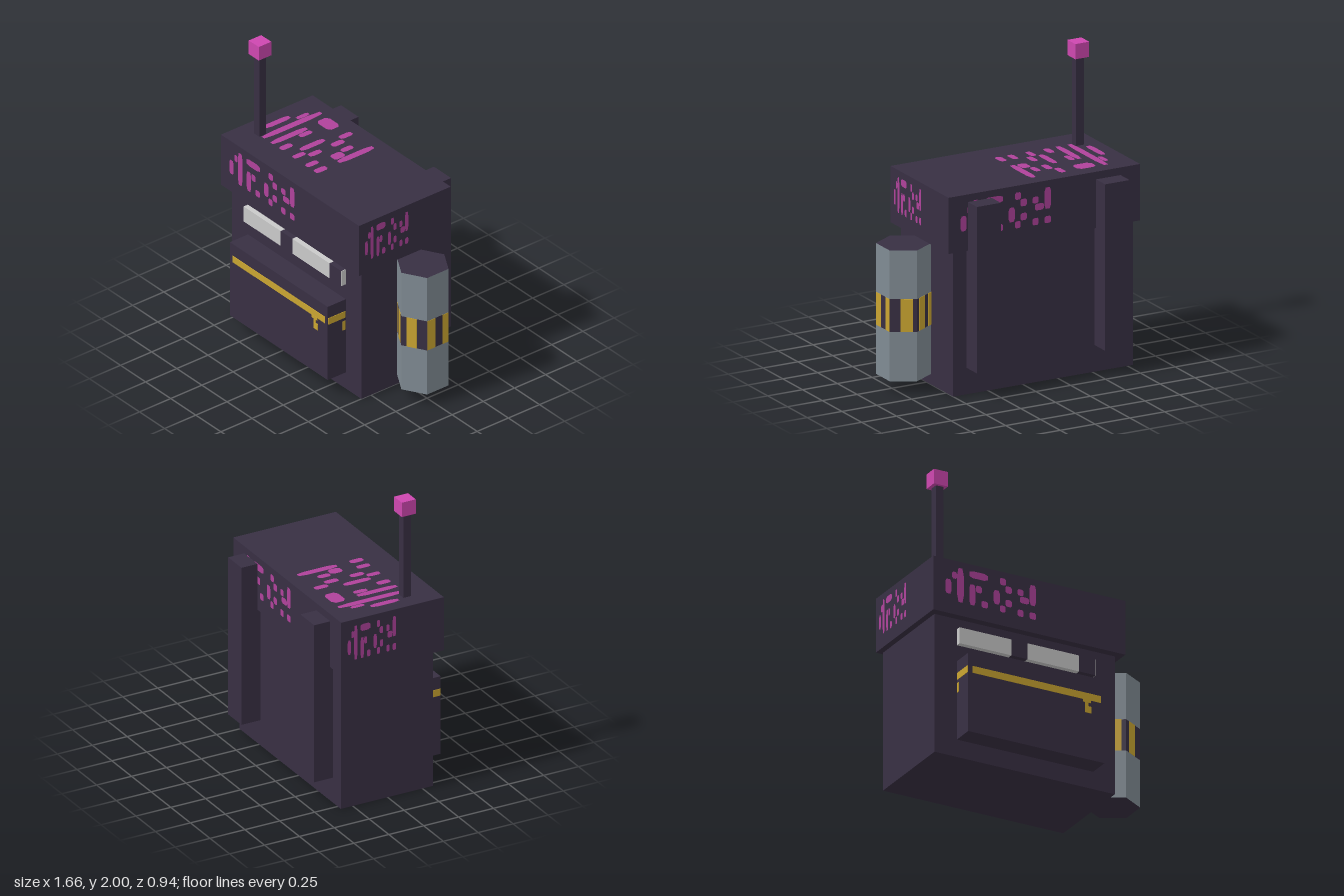
import * as THREE from 'three';

const material = (name, color) => {
  const m = new THREE.MeshStandardMaterial({ color });
  m.name = name;
  return m;
};

export function createModel() {
  const group = new THREE.Group();
  const dark = material('dark purple fabric', 0x382f43);
  const steel = material('blue grey steel', 0x808b93);
  const yellow = material('mustard yellow', 0xcaa531);
  const pale = material('pale grey', 0xcacaca);
  const paint = material('magenta paint', 0xb0429b);
  const pink = material('bright pink', 0xce47b0);

  const add = (name, geometry, mat, parent = group) => {
    const mesh = new THREE.Mesh(geometry, mat);
    mesh.name = name;
    parent.add(mesh);
    return mesh;
  };
  // Box given by its limits on each axis
  const box = (name, x0, x1, y0, y1, z0, z1, mat) => {
    const mesh = add(name, new THREE.BoxGeometry(x1 - x0, y1 - y0, z1 - z0), mat);
    mesh.position.set((x0 + x1) / 2, (y0 + y1) / 2, (z0 + z1) / 2);
    return mesh;
  };

  // Pack body, lid and front pocket
  box('body', -0.79, 0.5, 0, 0.95, -0.335, 0.325, dark);
  box('lid', -0.83, 0.545, 0.95, 1.32, -0.355, 0.38, dark);
  box('pocket', -0.63, 0.345, 0.12, 0.66, 0.325, 0.47, dark);

  // Shoulder straps on the back
  box('rightStrap', -0.69, -0.515, 0.175, 1.27, -0.47, -0.335, dark);
  box('leftStrap', 0.235, 0.405, 0.175, 1.27, -0.47, -0.335, dark);

  // Antenna with its tip
  box('antenna', -0.715, -0.66, 1.32, 1.9, 0.155, 0.21, dark);
  box('antennaTip', -0.74, -0.64, 1.9, 2, 0.13, 0.23, pink);

  // Light bar: pale and dark sections
  [[-0.63, -0.26, pale], [-0.26, -0.145, dark], [-0.145, 0.225, pale], [0.225, 0.342, dark], [0.342, 0.345, pale]]
    .forEach(([x0, x1, mat]) => box('lightBar', x0, x1, 0.77, 0.88, 0.325, 0.36, mat));

  // Yellow trim and pull tab on the pocket
  box('pocketTrim', -0.6, 0.32, 0.528, 0.575, 0.47, 0.473, yellow);
  box('pullCord', 0.205, 0.228, 0.44, 0.528, 0.47, 0.473, yellow);
  box('pullTab', 0.215, 0.25, 0.44, 0.485, 0.47, 0.474, yellow);
  box('pullTop', 0.19, 0.245, 0.51, 0.53, 0.47, 0.474, yellow);
  for (const x of [-0.6315, 0.3465]) {
    box('sideTrim', x - 0.0015, x + 0.0015, 0.528, 0.575, 0.33, 0.466, yellow);
    box('sidePull', x - 0.0015, x + 0.0015, 0.44, 0.505, 0.33, 0.35, yellow);
  }

  // Hexagonal canister on the left side
  const canister = new THREE.Group();
  canister.name = 'canister';
  canister.position.set(0.68, 0, -0.023);
  group.add(canister);
  const R = 0.172;
  const hex = (name, y0, y1, mat) => {
    const geometry = new THREE.CylinderGeometry(R, R, y1 - y0, 6).toNonIndexed();
    geometry.computeVertexNormals();
    add(name, geometry, mat, canister).position.y = (y0 + y1) / 2;
  };
  hex('canisterBottom', 0.09, 0.415, [steel, dark, dark]);
  hex('canisterBand', 0.415, 0.63, dark);
  hex('canisterTop', 0.63, 0.95, [steel, dark, dark]);

  // Hazard stripes: intervals counted in canister sides, starting at the front right side
  [[0, 0.1], [0.4, 0.83], [1.2, 1.6], [2.03, 2.38], [2.71, 3], [3.4, 3.85], [4.15, 4.55], [4.8, 5], [5, 5.2], [5.55, 5.95]]
    .forEach(([a, b]) => {
      const side = Math.floor(a);
      const pivot = new THREE.Group();
      pivot.name = 'stripe';
      pivot.rotation.y = (side - 0.5) * Math.PI / 3;
      canister.add(pivot);
      const plate = add('stripePlate', new THREE.BoxGeometry((b - a) * R, 0.215, 0.004), yellow, pivot);
      plate.position.set(((a + b) / 2 - side - 0.5) * R, 0.5225, R * Math.cos(Math.PI / 6));
    });

  // Abstract paint dashes: left, top, right, bottom as fractions of a lid face
  const dashes = [
    [0.124, 0.12, 0.158, 0.755], [0.098, 0.21, 0.122, 0.34], [0.062, 0.37, 0.094, 0.64],
    [0.187, 0.12, 0.284, 0.25], [0.187, 0.37, 0.22, 0.755], [0.222, 0.37, 0.252, 0.5], [0.25, 0.63, 0.284, 0.755],
    [0.346, 0.12, 0.378, 0.25], [0.374, 0.25, 0.408, 0.38], [0.313, 0.37, 0.346, 0.63],
    [0.376, 0.5, 0.408, 0.63], [0.346, 0.63, 0.376, 0.755],
    [0.5, 0.12, 0.535, 0.5], [0.438, 0.25, 0.47, 0.37], [0.45, 0.38, 0.498, 0.5],
    [0.438, 0.63, 0.47, 0.755], [0.5, 0.63, 0.535, 0.755],
  ];
  // One dash with clipped corners
  const dashShape = ([l, t, r, b], w, h) => {
    const x0 = (l - 0.5) * w, x1 = (r - 0.5) * w, y0 = (0.5 - b) * h, y1 = (0.5 - t) * h;
    const cx = (x1 - x0) * 0.2, cy = (y1 - y0) * 0.2;
    return new THREE.Shape([
      [x0 + cx, y0], [x1 - cx, y0], [x1, y0 + cy], [x1, y1 - cy],
      [x1 - cx, y1], [x0 + cx, y1], [x0, y1 - cy], [x0, y0 + cy],
    ].map(([x, y]) => new THREE.Vector2(x, y)));
  };
  const W = 1.375, H = 0.37, D = 0.735, e = 0.002;
  const lidCentre = new THREE.Vector3(-0.1425, 1.135, 0.0125);
  // Face name, width, height, distance from the lid centre, rotation about x and y
  [
    ['front', W, H, D / 2, 0, 0],
    ['back', W, H, D / 2, 0, Math.PI],
    ['left', D, H, W / 2, 0, Math.PI / 2],
    ['right', D, H, W / 2, 0, -Math.PI / 2],
    ['top', W, D, H / 2, -Math.PI / 2, 0],
  ].forEach(([name, w, h, d, rx, ry]) => {
    const geometry = new THREE.ShapeGeometry(dashes.map((dash) => dashShape(dash, w, h)));
    geometry.translate(0, 0, d + e);
    const mesh = add(name + 'PaintDashes', geometry, paint);
    mesh.position.copy(lidCentre);
    mesh.rotation.set(rx, ry, 0);
  });

  return group;
}
